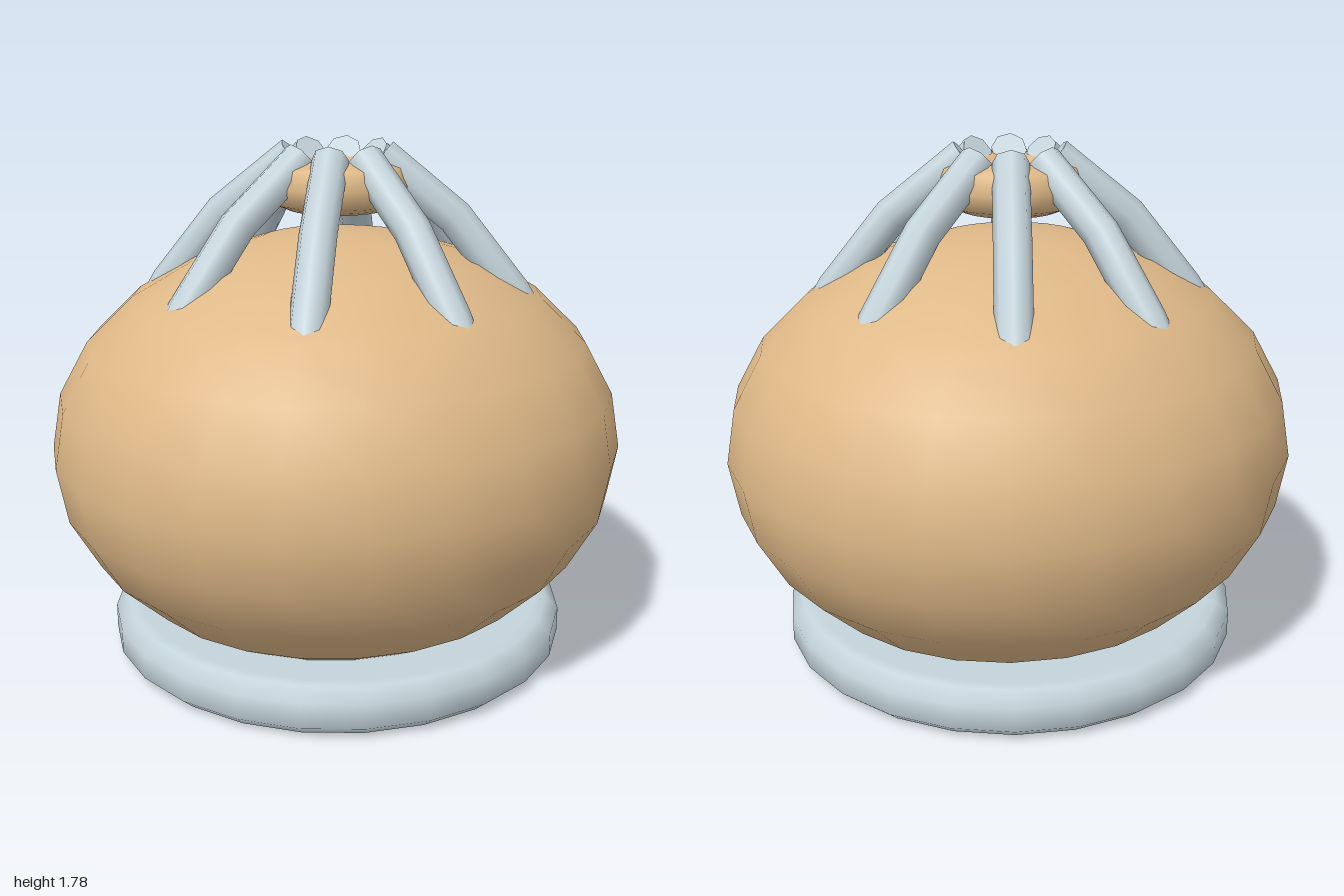
import * as THREE from 'three';

export function createModel() {
  const model = new THREE.Group();
  const tan = new THREE.MeshStandardMaterial({ color: 0xdeb887 });
  tan.name = 'tan';
  const paleBlue = new THREE.MeshStandardMaterial({ color: 0xc4d4db });
  paleBlue.name = 'paleBlueGrey';

  const add = (name, geometry, material, parent = model) => {
    const mesh = new THREE.Mesh(geometry, material);
    mesh.name = name;
    parent.add(mesh);
    return mesh;
  };

  // Squashed round body
  const body = add('body', new THREE.SphereGeometry(1, 24, 12), tan);
  body.scale.set(1, 0.735, 0.966);
  body.position.y = 0.745;

  // Disc foot with softened rim
  const footProfile = [
    [0, 0], [0.72, 0], [0.76, 0], [0.805, 0.04],
    [0.805, 0.125], [0.76, 0.165], [0.72, 0.165], [0, 0.165],
  ].map(([r, y]) => new THREE.Vector2(r, y));
  add('foot', new THREE.LatheGeometry(footProfile, 24), paleBlue);

  // Ring held above the body
  const ring = add('topRing', new THREE.TorusGeometry(0.165, 0.085, 8, 24), tan);
  ring.rotation.x = -Math.PI / 2;
  ring.position.y = 1.637;

  // Eight bent prongs running from the ring down into the body
  const path = new THREE.CatmullRomCurve3([
    [0.15, 1.73], [0.4, 1.53], [0.6, 1.28], [0.76, 1.01],
  ].map(([x, y]) => new THREE.Vector3(x, y, 0)));
  const prongGeometry = new THREE.TubeGeometry(path, 3, 0.061, 8, false);
  const capGeometry = new THREE.CircleGeometry(0.061, 8);
  const outward = path.getTangentAt(0).negate();
  for (let i = 0; i < 8; i++) {
    const prong = new THREE.Group();
    prong.name = 'prong' + (i + 1);
    add('prongRod', prongGeometry, paleBlue, prong);
    const cap = add('prongCap', capGeometry, paleBlue, prong);
    cap.position.copy(path.getPointAt(0));
    cap.quaternion.setFromUnitVectors(new THREE.Vector3(0, 0, 1), outward);
    prong.rotation.y = (i * Math.PI) / 4;
    model.add(prong);
  }
  return model;
}
